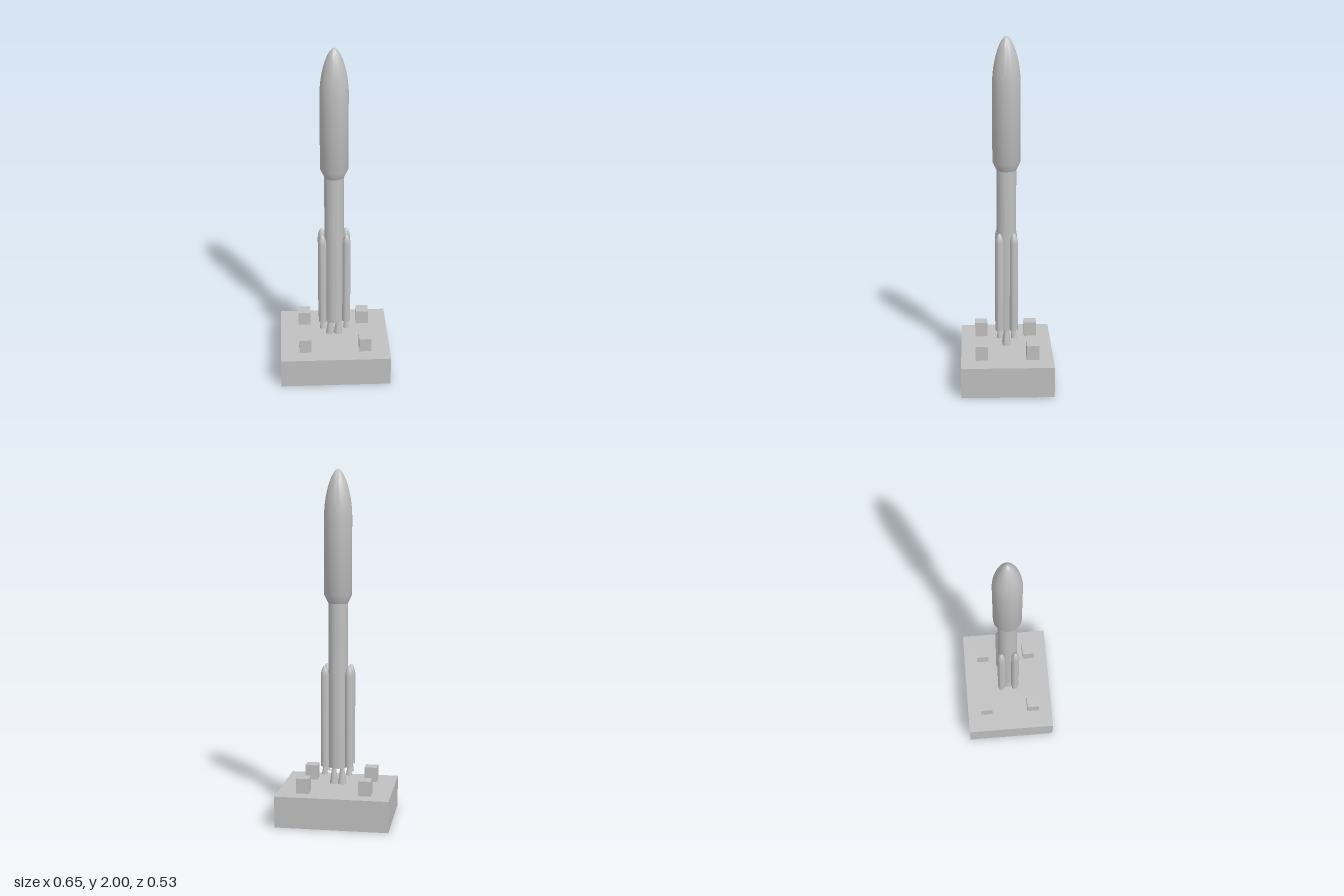
import * as THREE from 'three';
import { toCreasedNormals } from 'three/addons/utils/BufferGeometryUtils.js';

export function createModel() {
  const model = new THREE.Group();
  model.name = 'rocketOnPad';
  const grey = new THREE.MeshStandardMaterial({ color: 0xbfbfbf });
  grey.name = 'plain grey';

  const add = (name, geometry, x = 0, y = 0, z = 0, parent = model) => {
    const mesh = new THREE.Mesh(geometry, grey);
    mesh.name = name;
    mesh.position.set(x, y, z);
    parent.add(mesh);
    return mesh;
  };

  // Turned part from [radius, height] pairs listed bottom to top
  const turned = (profile, sides = 48) => toCreasedNormals(
    new THREE.LatheGeometry(profile.map(([r, y]) => new THREE.Vector2(r, y)), sides), 0.5);

  // Rounded, slightly pointed nose profile
  const nose = (radius, y0, y1, steps) => Array.from({ length: steps + 1 }, (_, i) => {
    const t = Math.sin((i / steps) * Math.PI / 2);
    return [i === steps ? 0 : radius * Math.pow(1 - Math.pow(t, 1.8), 0.6), y0 + (y1 - y0) * t];
  });

  // Launch pad with four hold-down blocks
  add('padBase', new THREE.BoxGeometry(0.646, 0.18, 0.53), 0, 0.09, 0);
  const block = new THREE.BoxGeometry(0.073, 0.087, 0.073);
  for (const sx of [-1, 1]) for (const sz of [-1, 1])
    add('padBlock', block, sx * 0.177, 0.2225, sz * 0.147);

  // Core stage
  add('coreStage', turned([[0, 0.298], [0.056, 0.298], [0.056, 1.26]]));

  // Payload fairing: flared collar, straight wall, curved nose
  add('fairing', turned([[0, 1.25], [0.056, 1.25], [0.079, 1.298], ...nose(0.079, 1.74, 2, 18)]));

  // Twin main engine bells
  const mainBell = turned([[0, 0.197], [0.025, 0.197], [0.02, 0.23], [0.015, 0.265], [0.011, 0.3]], 32);
  for (const sx of [-1, 1]) add('mainEngine', mainBell, sx * 0.024, 0, 0);

  // Four strap-on boosters, each with a small bell
  const body = turned([[0, 0.31], [0.0235, 0.31], ...nose(0.0235, 0.835, 0.897, 10)], 32);
  const bell = turned([[0, 0.262], [0.0175, 0.262], [0.01, 0.312]], 24);
  for (const sx of [-1, 1]) for (const sz of [-1, 1]) {
    const booster = new THREE.Group();
    booster.name = 'booster';
    booster.position.set(sx * 0.07, 0, sz * 0.041);
    add('boosterBody', body, 0, 0, 0, booster);
    add('boosterNozzle', bell, 0, 0, 0, booster);
    model.add(booster);
  }
  return model;
}
